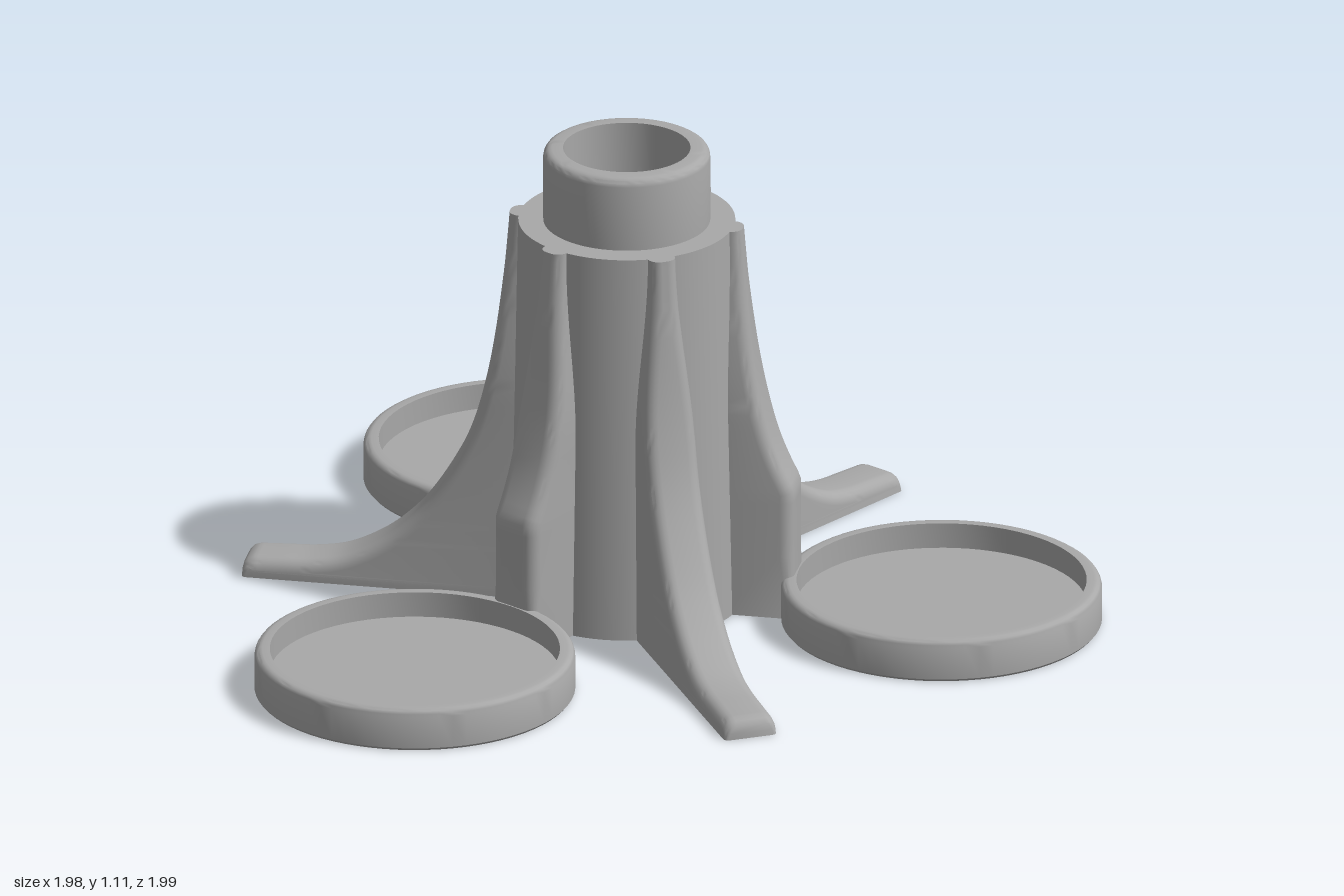
import * as THREE from 'three';
import { toCreasedNormals } from 'three/addons/utils/BufferGeometryUtils.js';

const CREASE = 0.6;
const CENTRE_X = -0.11;

// Turned part from a closed list of [radius, height] points
function turned(points, material, name) {
  const profile = points.map(([r, y]) => new THREE.Vector2(r, y));
  const mesh = new THREE.Mesh(toCreasedNormals(new THREE.LatheGeometry(profile, 72), CREASE), material);
  mesh.name = name;
  return mesh;
}

// Quarter-round outer edge ending at the given top radius and height
function roundEdge(r, y, f) {
  return [0, 1, 2, 3, 4].map((i) => {
    const a = (i / 4) * Math.PI / 2;
    return [r - f + f * Math.cos(a), y - f + f * Math.sin(a)];
  });
}

// Outer edge of a long leg, from the top of the column down to the toe
function legEdge() {
  const curve = new THREE.SplineCurve([
    [0.27, 0.93], [0.283, 0.78], [0.302, 0.62], [0.325, 0.5], [0.355, 0.4], [0.4, 0.305],
    [0.46, 0.21], [0.52, 0.145], [0.58, 0.1], [0.65, 0.066], [0.72, 0.052], [0.79, 0.048], [0.855, 0.045],
  ].map(([r, y]) => new THREE.Vector2(r, y)));
  return curve.getPoints(60);
}

// Rib pointing along +x: horizontal slices with a rounded outer edge
function ribGeometry(edge) {
  const INNER = 0.235, ARC = 5;
  const positions = [], index = [];
  const last = edge.length - 1;
  const ring = 2 * ARC + 4;
  edge.forEach((p, i) => {
    const a = edge[Math.max(i - 1, 0)], b = edge[Math.min(i + 1, last)];
    const n = new THREE.Vector2(a.y - b.y, b.x - a.x).normalize();
    if (i === 0 || i === last) n.set(1, 0);
    const w = 0.032 + 0.031 * THREE.MathUtils.smoothstep(0.93 - p.y, 0, 0.45);
    const f = Math.min(0.03, w * 0.8, 0.012 + p.y * 0.5);
    const section = [];
    for (let k = 0; k <= ARC; k++) {
      const t = (k / ARC) * Math.PI / 2;
      section.push([w - f + f * Math.cos(t), f * (1 - Math.sin(t))]);
    }
    const full = [...section, ...section.slice().reverse().map(([z, d]) => [-z, d])];
    const pts = full.map(([z, d]) => [p.x - n.x * d, Math.max(0, p.y - n.y * d), z]);
    const baseY = pts[0][1];
    positions.push(INNER, baseY, w);
    pts.forEach((q) => positions.push(...q));
    positions.push(INNER, baseY, -w);
  });
  for (let i = 0; i < last; i++) {
    for (let j = 0; j < ring - 1; j++) {
      const a = i * ring + j, c = a + ring;
      index.push(a, c, a + 1, a + 1, c, c + 1);
    }
  }
  // Top and bottom caps
  const end = last * ring;
  for (let j = 1; j < ring - 1; j++) {
    index.push(0, j, j + 1, end, end + j + 1, end + j);
  }
  const g = new THREE.BufferGeometry();
  g.setAttribute('position', new THREE.Float32BufferAttribute(positions, 3));
  g.setIndex(index);
  return toCreasedNormals(g, CREASE);
}

export function createModel() {
  const group = new THREE.Group();
  group.name = 'stand';
  const grey = new THREE.MeshStandardMaterial({ color: 0xa8a8a8 });
  grey.name = 'plain grey';

  const body = new THREE.Group();
  body.name = 'body';
  body.position.x = CENTRE_X;
  group.add(body);

  // Hollow column with a narrower neck
  body.add(turned([
    [0.22, 0], [0.265, 0], [0.247, 0.93], [0.19, 0.93],
    ...roundEdge(0.19, 1.105, 0.02),
    [0.145, 1.105], [0.145, 0.88], [0.2, 0.88], [0.22, 0],
  ], grey, 'column'));

  // Long legs run to a rounded toe; short ribs stop at the trays
  const edge = legEdge();
  const toe = [[0.87, 0.04], [0.879, 0.03], [0.882, 0.015], [0.882, 0]];
  const longEdge = [...edge, ...toe.map(([r, y]) => new THREE.Vector2(r, y))];
  const shortEdge = [
    ...edge.filter((p) => p.x < 0.392),
    ...[0.305, 0.28, 0.15, 0].map((y) => new THREE.Vector2(0.397, y)),
  ];
  const longGeometry = ribGeometry(longEdge);
  const shortGeometry = ribGeometry(shortEdge);

  for (let i = 0; i < 3; i++) {
    const angle = (i * 2 * Math.PI) / 3;

    const rib = new THREE.Mesh(shortGeometry, grey);
    rib.name = 'shortRib';
    rib.rotation.y = angle;
    body.add(rib);

    const leg = new THREE.Mesh(longGeometry, grey);
    leg.name = 'longLeg';
    leg.rotation.y = angle + Math.PI / 3;
    body.add(leg);

    // Shallow round tray
    const tray = turned([
      [0, 0], [0.36, 0], [0.365, 0.006],
      ...roundEdge(0.365, 0.1, 0.018),
      [0.33, 0.1], [0.33, 0.04], [0, 0.04],
    ], grey, 'tray');
    tray.position.set(0.73 * Math.cos(angle), 0, -0.73 * Math.sin(angle));
    body.add(tray);
  }
  return group;
}
